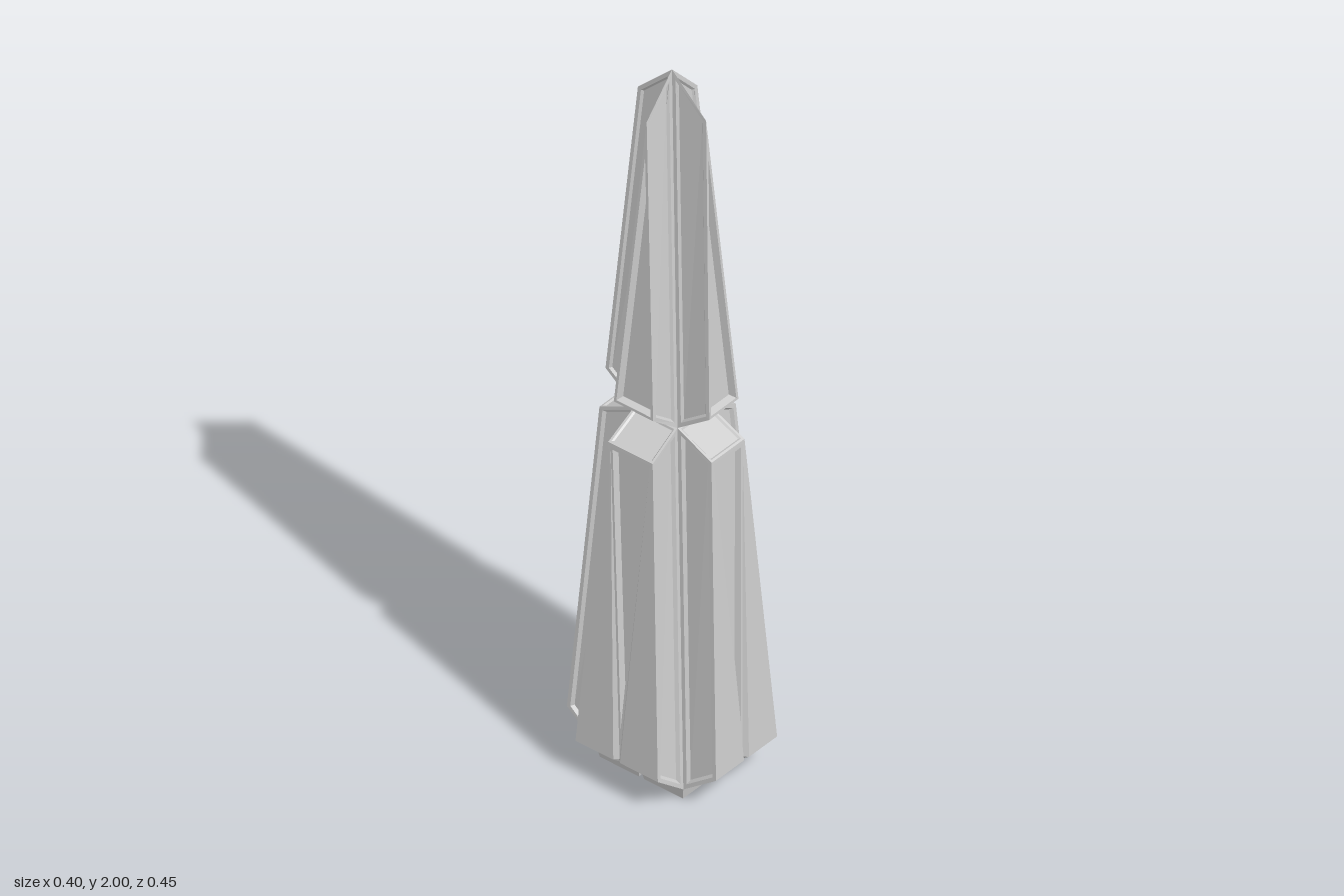
import * as THREE from 'three';

const v = (x, y, z) => new THREE.Vector3(x, y, z);
const mirror = (p) => v(-p.x, p.y, p.z);
const material = new THREE.MeshStandardMaterial({ color: 0xcccccc, flatShading: true });
const DEPTH = 1.12; // the plan is this much deeper than wide

// Flat polygon, corners counter-clockwise seen from outside
function face(out, pts) {
  for (let i = 1; i < pts.length - 1; i++) {
    for (const p of [pts[0], pts[i], pts[i + 1]]) out.push(p.x, p.y, p.z);
  }
}

// Polygon with a bevelled inner panel; negative height sinks it, positive raises it
function panel(out, pts, frame, bevel, height) {
  const n = pts.length;
  const normal = v(0, 0, 0);
  pts.forEach((p, i) => normal.add(p.clone().cross(pts[(i + 1) % n])));
  normal.normalize();
  const inset = (d, h) => pts.map((p, i) => {
    const e1 = p.clone().sub(pts[(i + n - 1) % n]).normalize();
    const e2 = pts[(i + 1) % n].clone().sub(p).normalize();
    const a = normal.clone().cross(e1).normalize();
    const b = normal.clone().cross(e2).normalize();
    const k = d / (1 + a.dot(b));
    return p.clone().addScaledVector(a.add(b), k).addScaledVector(normal, h);
  });
  const rings = [pts, inset(frame, 0), inset(frame + bevel, height)];
  for (let r = 0; r < 2; r++) {
    for (let i = 0; i < n; i++) {
      const j = (i + 1) % n;
      face(out, [rings[r][i], rings[r][j], rings[r + 1][j], rings[r + 1][i]]);
    }
  }
  face(out, rings[2]);
}

// Calls add(points) for a face and for its mirror image across x = 0
function both(pts, add) {
  add(pts);
  add(pts.map(mirror).reverse());
}

function makeMesh(name, out) {
  const g = new THREE.BufferGeometry();
  g.setAttribute('position', new THREE.Float32BufferAttribute(out, 3));
  g.computeVertexNormals();
  const m = new THREE.Mesh(g, material);
  m.name = name;
  return m;
}

// Upper blade: a fin that widens from a ridge down to the neck
function upperBlade(at) {
  const out = [];
  const apex = at(0, 2, 0), ridge = at(0, 1.9, 0.092);
  const base = at(0.053, 1.085, 0.14), neck = at(0.058, 1.02, 0.058);
  both([apex, ridge, base, neck], (p) => panel(out, p, 0.01, 0.005, -0.006));
  panel(out, [ridge, mirror(base), base], 0.007, 0.005, -0.018);
  face(out, [mirror(base), mirror(neck), neck, base]);
  return makeMesh('upperBlade', out);
}

// Lower buttress: two prongs that spread downward around a sunk triangle
function lowerButtress(at) {
  const out = [];
  const neck = at(0.058, 1.02, 0.058), shoulder = at(0.06, 0.97, 0.151);
  const foot = at(0.111, 0.1, 0.201), under = at(0.119, 0.035, 0.119);
  const crotch = at(0.053, 0.96, 0.1515);
  const slit = at(0.009, 0.1, 0.201), slitUnder = at(0.009, 0.035, 0.119);
  const groove = at(0, 0.1, 0.19), grooveUnder = at(0, 0.048, 0.114);

  // Side walls with sunk panels
  both([neck, shoulder, foot, under], (p) => panel(out, p, 0.01, 0.006, -0.008));
  // Prong fronts, undersides and the groove between them
  for (const p of [
    [crotch, slit, foot, shoulder],
    [crotch, groove, slit],
    [slit, slitUnder, under, foot],
    [groove, grooveUnder, slitUnder, slit],
  ]) both(p, (q) => face(out, q));
  // Sunk triangle and the sloped shoulder above it
  panel(out, [mirror(crotch), groove, crotch], 0.006, 0.006, -0.014);
  face(out, [mirror(shoulder), mirror(crotch), crotch, shoulder]);
  panel(out, [mirror(neck), mirror(shoulder), shoulder, neck], 0.006, 0.004, -0.004);
  return makeMesh('lowerButtress', out);
}

// Foot block: one of four bevelled rectangles under the base
function footBlock(at) {
  const out = [];
  const corners = [[0, 0], [0.119, 0], [0.119, 0.119], [0, 0.119]];
  panel(out, corners.map(([x, z]) => at(x, 0.035, z)), 0.001, 0.007, 0.035);
  return makeMesh('footBlock', out);
}

export function createModel() {
  const model = new THREE.Group();
  model.name = 'spire';
  ['front', 'left', 'back', 'right'].forEach((side, i) => {
    // Front and back reach further, the side quarters are broader
    const at = i % 2 === 0
      ? (x, y, z) => v(x, y, z * DEPTH)
      : (x, y, z) => v(x * DEPTH, y, z);
    const quarter = new THREE.Group();
    quarter.name = side + 'Quarter';
    quarter.add(upperBlade(at), lowerButtress(at), footBlock(at));
    quarter.rotation.y = (i * Math.PI) / 2;
    model.add(quarter);
  });
  return model;
}
